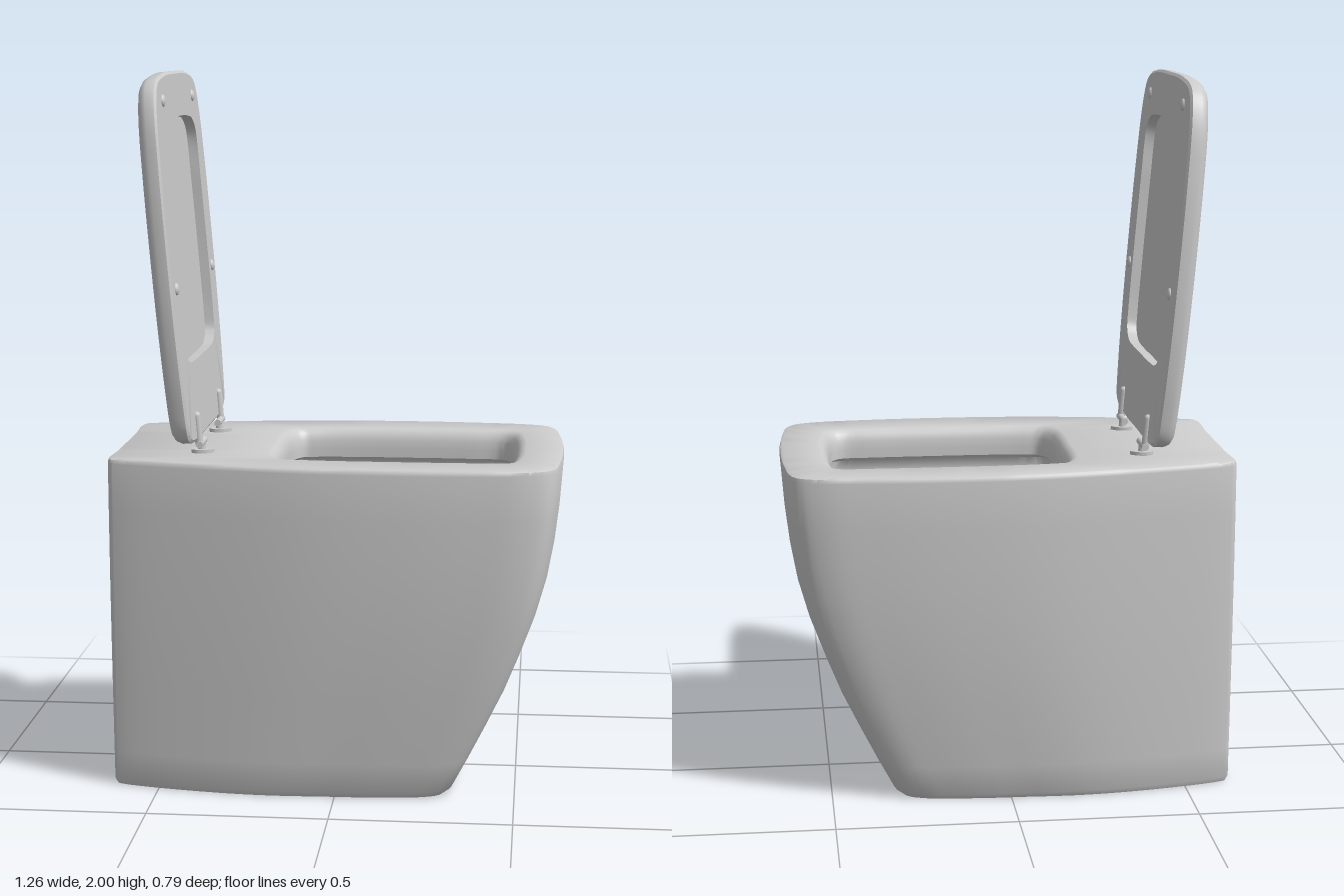
import * as THREE from 'three';
import { mergeVertices, toCreasedNormals } from 'three/addons/utils/BufferGeometryUtils.js';

const N = 96;
const grey = new THREE.MeshStandardMaterial({ color: 0xcccccc });

// Closed smooth outline from one half (z >= 0), mirrored across z = 0
function outline(half) {
  const mirrored = half.slice(1, -1).reverse().map(([x, z]) => [x, -z]);
  const pts = [...half, ...mirrored].map(([x, z]) => new THREE.Vector3(x, 0, z));
  return new THREE.CatmullRomCurve3(pts, true, 'centripetal').getPoints(N).slice(0, N);
}

// Ring at height y, scaled about (cx, 0)
const ring = (pts, y, s = 1, cx = 0) =>
  pts.map(p => new THREE.Vector3(cx + (p.x - cx) * s, y, p.z * s));

// Skin through rings that share the same point count
function loft(rings, crease) {
  const pos = rings.flat().flatMap(p => [p.x, p.y, p.z]);
  const index = [];
  for (let r = 0; r < rings.length - 1; r++) {
    for (let i = 0; i < N; i++) {
      const j = (i + 1) % N, a = r * N, b = a + N;
      index.push(a + i, b + i, a + j, a + j, b + i, b + j);
    }
  }
  let geo = new THREE.BufferGeometry();
  geo.setAttribute('position', new THREE.Float32BufferAttribute(pos, 3));
  geo.setIndex(index);
  geo = mergeVertices(geo);
  return toCreasedNormals(geo, crease);
}

function add(parent, name, geo, x = 0, y = 0, z = 0) {
  const mesh = new THREE.Mesh(geo, grey);
  mesh.name = name;
  mesh.position.set(x, y, z);
  parent.add(mesh);
  return mesh;
}

// Pedestal, rim and bowl as one continuous skin
function bowlGeometry() {
  const BACK = -0.63, CX = 0.155;
  const rim = outline([[0.625, 0], [0.617, 0.2], [0.592, 0.335], [0.53, 0.368], [0.4, 0.385], [0.17, 0.395],
    [-0.1, 0.385], [-0.4, 0.34], [-0.61, 0.292], [-0.63, 0.28], [-0.63, 0.14], [-0.63, 0]]);
  const opening = outline([[0.485, 0], [0.48, 0.14], [0.465, 0.215], [0.44, 0.238], [0.35, 0.243], [0.17, 0.245],
    [0, 0.243], [-0.1, 0.235], [-0.14, 0.225], [-0.165, 0.18], [-0.172, 0.1], [-0.172, 0]]);
  const drain = outline([[0.145, 0], [0.14, 0.02], [0.125, 0.045], [0.105, 0.06], [0.085, 0.07], [0.065, 0.077],
    [0.045, 0.08], [0.03, 0.078], [0.02, 0.065], [0.018, 0.05], [0.016, 0.025], [0.016, 0]]);

  // Outer section: nose pulled back and sides narrowed towards the floor
  const section = (y, front, width) => rim.map(p => {
    const t = (p.x - BACK) / 1.255;
    const narrow = 1 - (1 - width) * (0.5 + 0.5 * Math.min(1, t * 1.6));
    return new THREE.Vector3(BACK + t * (front - BACK), y, p.z * narrow);
  });
  const floor = section(0, 0.325, 0.82);
  const rings = [ring(floor, 0, 0, -0.15), ring(floor, 0, 0.985, -0.15)];
  const profile = [[0.015, 0.337, 0.83], [0.1, 0.382, 0.858], [0.2, 0.432, 0.888], [0.3, 0.48, 0.917],
    [0.4, 0.52, 0.943], [0.5, 0.557, 0.963], [0.6, 0.585, 0.98], [0.7, 0.603, 0.99], [0.8, 0.615, 0.997], [0.93, 0.625, 1]];
  for (const [y, front, width] of profile) rings.push(section(y, front, width));
  rings.push(ring(rim, 0.941, 0.996), ring(rim, 0.945, 0.985));

  // Rolled inner edge, throat and undercut
  for (const [y, s] of [[0.945, 1.1], [0.941, 1.065], [0.93, 1.03], [0.91, 1.006], [0.885, 1], [0.86, 1],
    [0.85, 1.05], [0.82, 1.07], [0.76, 1.04]]) rings.push(ring(opening, y, s, CX));

  // Funnel down to the drain
  for (let k = 1; k <= 10; k++) {
    const t = k / 10, y = 0.76 - 0.41 * Math.pow(t, 1.15);
    rings.push(ring(opening, y, 1.04, CX).map((p, i) => {
      const d = drain[i];
      return new THREE.Vector3(p.x + (d.x - p.x) * t, y, p.z + (d.z - p.z) * t);
    }));
  }
  rings.push(ring(drain, 0.2));
  return loft(rings, 0.75);
}

// Lid lying flat: x runs from hinge to tip, y from its inner face to its back
function lidGeometry() {
  const edge = outline([[1.015, 0], [1.01, 0.2], [0.985, 0.32], [0.92, 0.362], [0.75, 0.385], [0.5, 0.39],
    [0.3, 0.382], [0.12, 0.36], [0.03, 0.335], [0.008, 0.29], [0, 0.2], [0, 0]]);
  const recess = outline([[0.89, 0], [0.885, 0.15], [0.875, 0.215], [0.84, 0.262], [0.7, 0.272], [0.55, 0.275],
    [0.42, 0.274], [0.3, 0.27], [0.25, 0.26], [0.222, 0.215], [0.215, 0.12], [0.215, 0]]);
  const C = 0.51;
  return loft([
    ring(recess, 0.028, 0, C), ring(recess, 0.028), ring(recess, 0),
    ring(edge, 0, 0.985, C), ring(edge, 0.006, 1, C), ring(edge, 0.03, 1, C), ring(edge, 0.043, 0.988, C),
    ring(edge, 0.051, 0.965, C), ring(edge, 0.055, 0.93, C), ring(edge, 0.056, 0, C),
  ], 0.6);
}

export function createModel() {
  const model = new THREE.Group();
  model.name = 'toilet';
  add(model, 'bowl', bowlGeometry());

  // Raised lid, leaning back a little
  const lid = new THREE.Group();
  lid.name = 'lid';
  lid.position.set(-0.39, 0.985, 0);
  lid.rotation.z = Math.PI / 2 + 0.085;
  model.add(lid);
  add(lid, 'lidPanel', lidGeometry());

  for (const side of [-1, 1]) {
    // Rubber buffers on the inner face
    for (const [h, z] of [[0.94, 0.25], [0.437, 0.322]]) {
      add(lid, 'buffer', new THREE.SphereGeometry(0.017, 16, 10), h, 0, side * z).scale.y = 0.5;
    }
    // Hinge arm fixed to the lid
    add(lid, 'hingeArm', new THREE.CapsuleGeometry(0.011, 0.08, 4, 10), 0.03, -0.002, side * 0.205).rotation.z = Math.PI / 2;

    // Hinge pin, post and teardrop foot on the rim
    const hinge = new THREE.Group();
    hinge.name = 'hinge';
    hinge.position.set(-0.385, 0.945, side * 0.168);
    model.add(hinge);
    add(hinge, 'hingePin', new THREE.CylinderGeometry(0.01, 0.01, 0.09, 12), 0, 0.03, side * 0.008).rotation.x = Math.PI / 2;
    add(hinge, 'hingePost', new THREE.CylinderGeometry(0.01, 0.012, 0.03, 12), 0, 0.015, 0);
    const foot = new THREE.Shape();
    foot.moveTo(0.035, 0);
    foot.quadraticCurveTo(0.02, 0.026, -0.01, 0.024);
    foot.quadraticCurveTo(-0.03, 0.02, -0.03, 0);
    foot.quadraticCurveTo(-0.03, -0.02, -0.01, -0.024);
    foot.quadraticCurveTo(0.02, -0.026, 0.035, 0);
    const footGeo = new THREE.ExtrudeGeometry(foot, { depth: 0.01, bevelEnabled: false });
    add(hinge, 'hingeFoot', footGeo).rotation.x = -Math.PI / 2;
  }
  return model;
}
